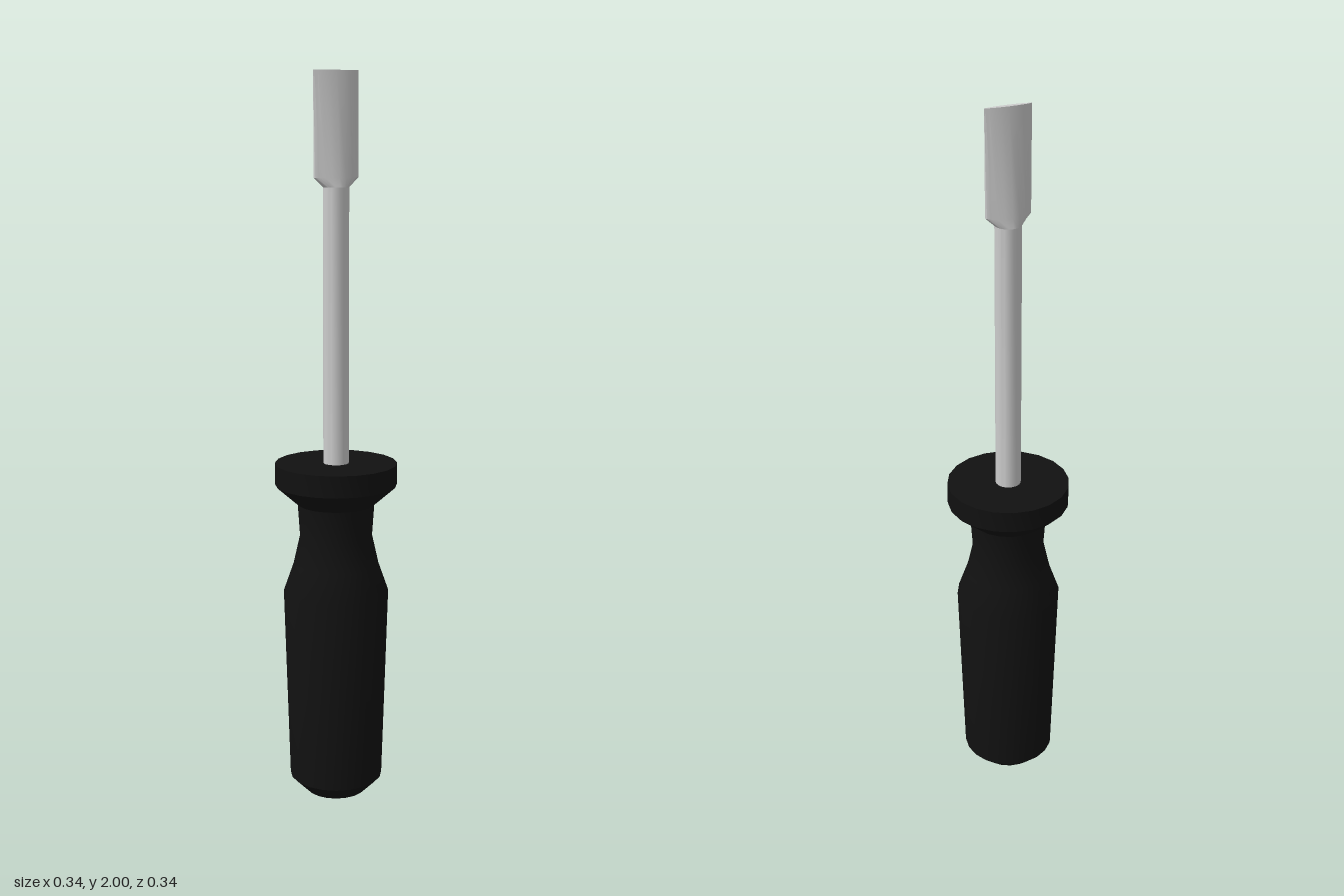
import * as THREE from 'three';
import { toCreasedNormals } from 'three/addons/utils/BufferGeometryUtils.js';

const SIDES = 20;

// Turn a [radius, height] profile, listed from bottom to top
function turned(profile) {
  return new THREE.LatheGeometry(profile.map(([r, y]) => new THREE.Vector2(r, y)), SIDES);
}

function part(name, geometry, color) {
  const material = new THREE.MeshStandardMaterial({ color });
  const mesh = new THREE.Mesh(toCreasedNormals(geometry, 0.5), material);
  mesh.name = name;
  return mesh;
}

export function createModel() {
  const group = new THREE.Group();
  group.name = 'screwdriver';

  // Handle: chamfered butt, swelling grip, narrow neck and flared collar
  const handle = turned([
    [0, 0], [0.085, 0], [0.13, 0.045], [0.146, 0.59], [0.118, 0.67],
    [0.1, 0.75], [0.106, 0.84], [0.168, 0.895], [0.168, 0.955], [0, 0.955],
  ]);
  group.add(part('handle', handle, 0x111111));

  // Shaft: round bar starting inside the collar
  group.add(part('shaft', turned([[0, 0.9], [0.035, 0.9], [0.035, 1.7]]), 0xcccccc));

  // Blade: round at the shaft, then wide and tapering to a thin lens-shaped tip
  const width = 0.0625, shoulder = 1.725;
  const blade = turned([[0.035, 1.7], [width, shoulder], [width, 2], [0, 2]]);
  const pos = blade.attributes.position;
  for (let i = 0; i < pos.count; i++) {
    const y = pos.getY(i), z = pos.getZ(i);
    if (y < 1.71) continue;
    const thickness = THREE.MathUtils.mapLinear(y, shoulder, 2, 0.03, 0.007);
    pos.setZ(i, Math.sign(z) * thickness * Math.pow(Math.abs(z) / width, 1.4));
  }
  group.add(part('blade', blade, 0xcccccc));

  return group;
}
